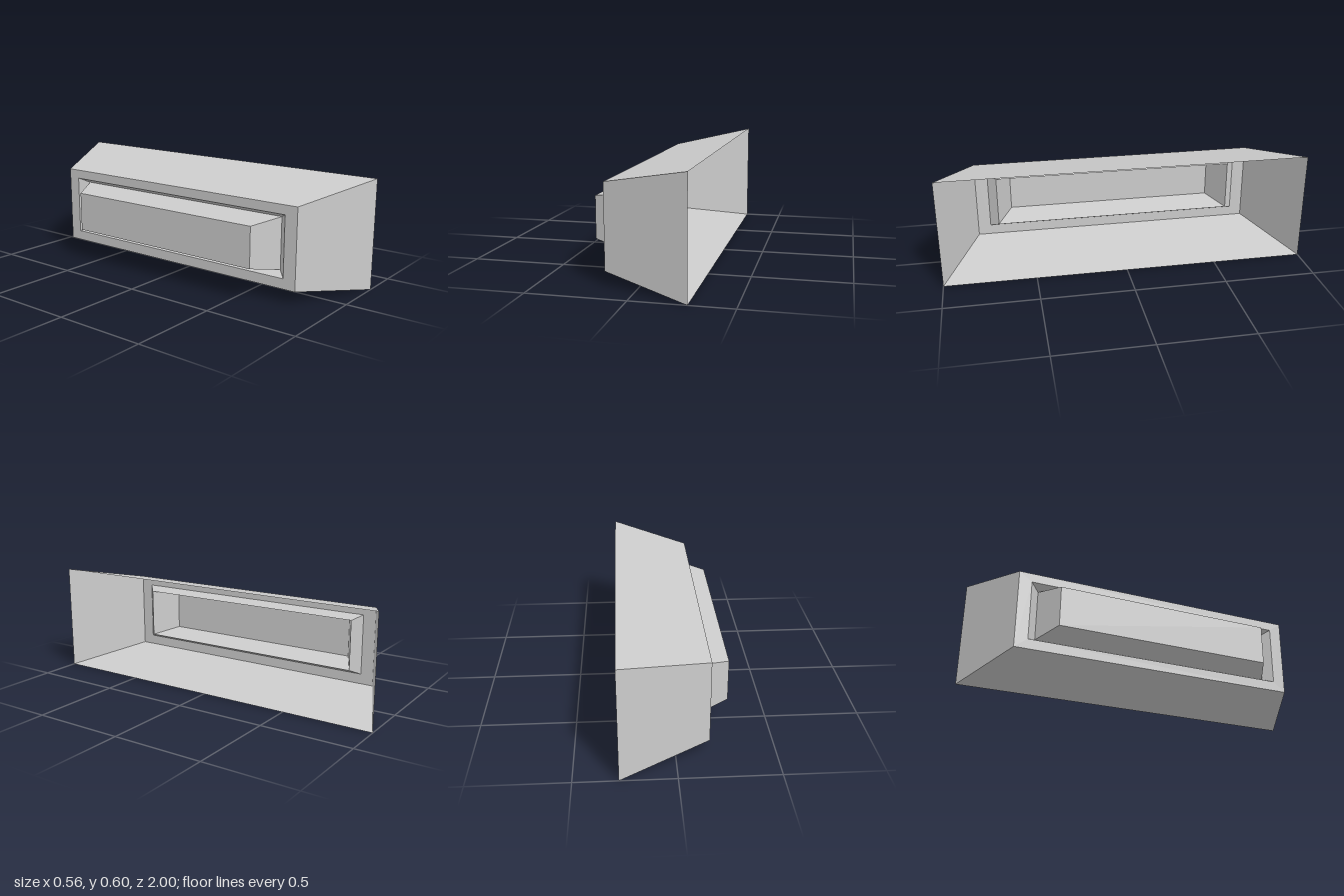
import * as THREE from 'three';

// Rectangular sections across x: position, bottom, top and half length along z
const mouth = { x: 0.28, y0: 0, y1: 0.6, z: 1 };
const throat = { x: -0.17, y0: 0.07, y1: 0.507, z: 0.8 };
const opening = { x: -0.17, y0: 0.125, y1: 0.457, z: 0.73 };
const rim = { x: -0.12, y0: 0.15, y1: 0.43, z: 0.682 };
const base = { x: -0.28, y0: 0.178, y1: 0.4, z: 0.6 };

const corners = (s) => [
  [s.x, s.y0, s.z], [s.x, s.y0, -s.z], [s.x, s.y1, -s.z], [s.x, s.y1, s.z],
];

// Four flat walls joining section a to section b
function loft(a, b) {
  const ca = corners(a), cb = corners(b), pos = [];
  for (let i = 0; i < 4; i++) {
    const j = (i + 1) % 4;
    pos.push(...ca[i], ...ca[j], ...cb[j], ...ca[i], ...cb[j], ...cb[i]);
  }
  const geo = new THREE.BufferGeometry();
  geo.setAttribute('position', new THREE.Float32BufferAttribute(pos, 3));
  geo.computeVertexNormals();
  return geo;
}

export function createModel() {
  const group = new THREE.Group();
  group.name = 'flaredHousing';
  const grey = new THREE.MeshStandardMaterial({ color: 0xcccccc, side: THREE.DoubleSide });
  grey.name = 'lightGrey';

  const add = (name, geo) => {
    const mesh = new THREE.Mesh(geo, grey);
    mesh.name = name;
    group.add(mesh);
    return mesh;
  };

  // Large flared hood, open on the +x side
  add('outerHood', loft(throat, mouth));
  // Flat frame around the opening
  add('backFrame', loft(throat, opening));
  // Sloped lip folding inward from the frame
  add('innerLip', loft(opening, rim));
  // Smaller tapered trough pushed out through the frame
  add('innerTrough', loft(base, rim));

  // Flat panel closing the trough
  const cap = add('troughBase', new THREE.PlaneGeometry(base.z * 2, base.y1 - base.y0));
  cap.rotation.y = -Math.PI / 2;
  cap.position.set(base.x, (base.y0 + base.y1) / 2, 0);

  return group;
}
